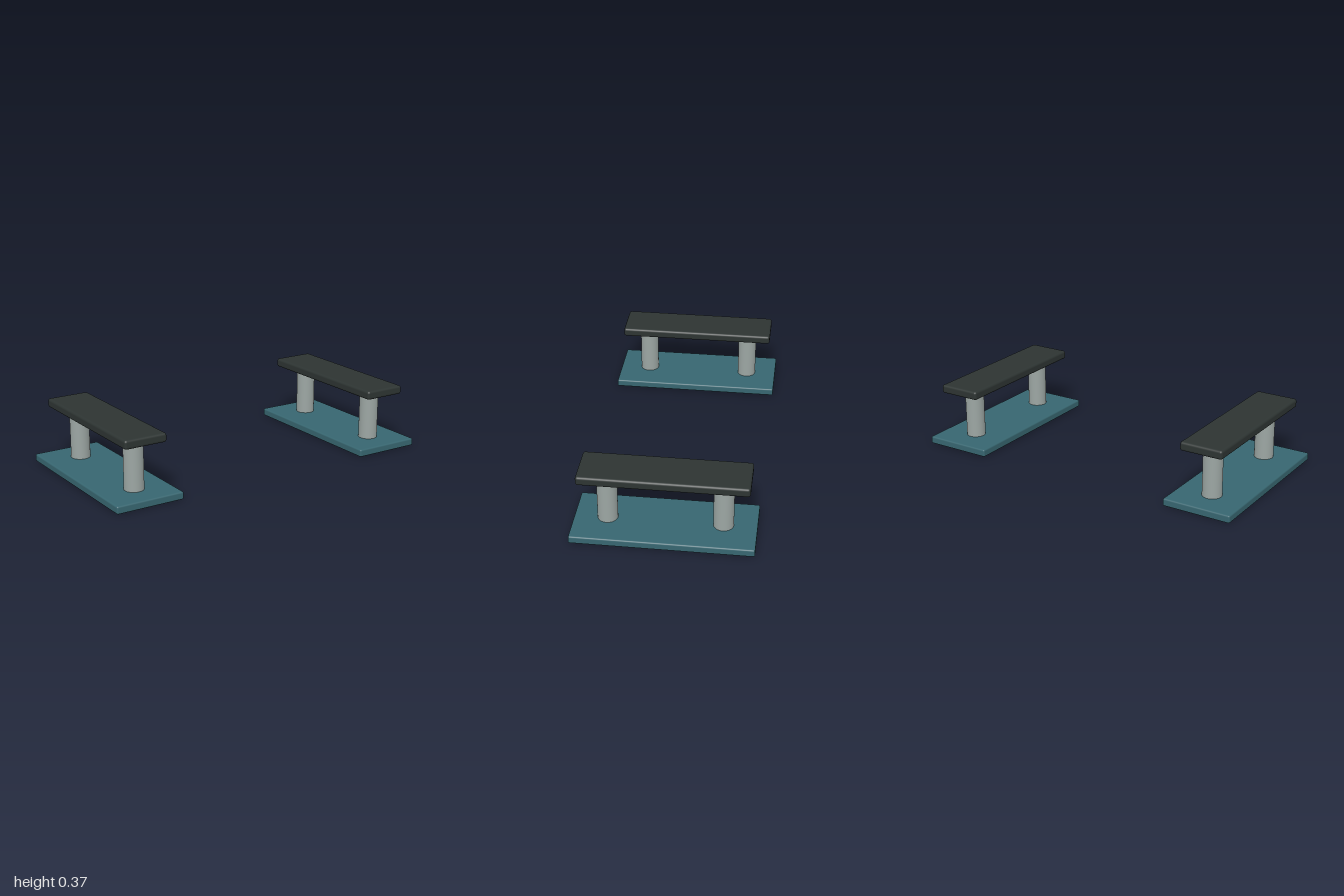
import * as THREE from 'three';
import { RoundedBoxGeometry } from 'three/addons/geometries/RoundedBoxGeometry.js';

const material = (name, color) => {
  const m = new THREE.MeshStandardMaterial({ color });
  m.name = name;
  return m;
};

export function createModel() {
  const teal = material('teal base', 0x376670);
  const charcoal = material('charcoal grip', 0x2d3432);
  const grey = material('grey metal', 0x9ca6a3);

  const add = (parent, name, geometry, mat, x, y, z) => {
    const mesh = new THREE.Mesh(geometry, mat);
    mesh.name = name;
    mesh.position.set(x, y, z);
    parent.add(mesh);
  };

  // Shared part shapes
  const baseShape = new RoundedBoxGeometry(0.4, 0.044, 0.984, 3, 0.009);
  const gripShape = new RoundedBoxGeometry(0.25, 0.051, 0.91, 3, 0.014);
  const postShape = new THREE.CylinderGeometry(0.055, 0.055, 0.29, 32);

  const model = new THREE.Group();
  model.name = 'pairOfStands';

  // One stand on each side: base plate, two posts, flat grip bar
  for (const side of [-1, 1]) {
    const stand = new THREE.Group();
    stand.name = side > 0 ? 'leftStand' : 'rightStand';
    stand.position.x = side * 0.8;
    add(stand, 'basePlate', baseShape, teal, 0, 0.022, 0);
    add(stand, 'gripBar', gripShape, charcoal, 0, 0.3485, 0);
    add(stand, 'frontPost', postShape, grey, 0, 0.184, 0.311);
    add(stand, 'backPost', postShape, grey, 0, 0.184, -0.311);
    model.add(stand);
  }
  return model;
}
